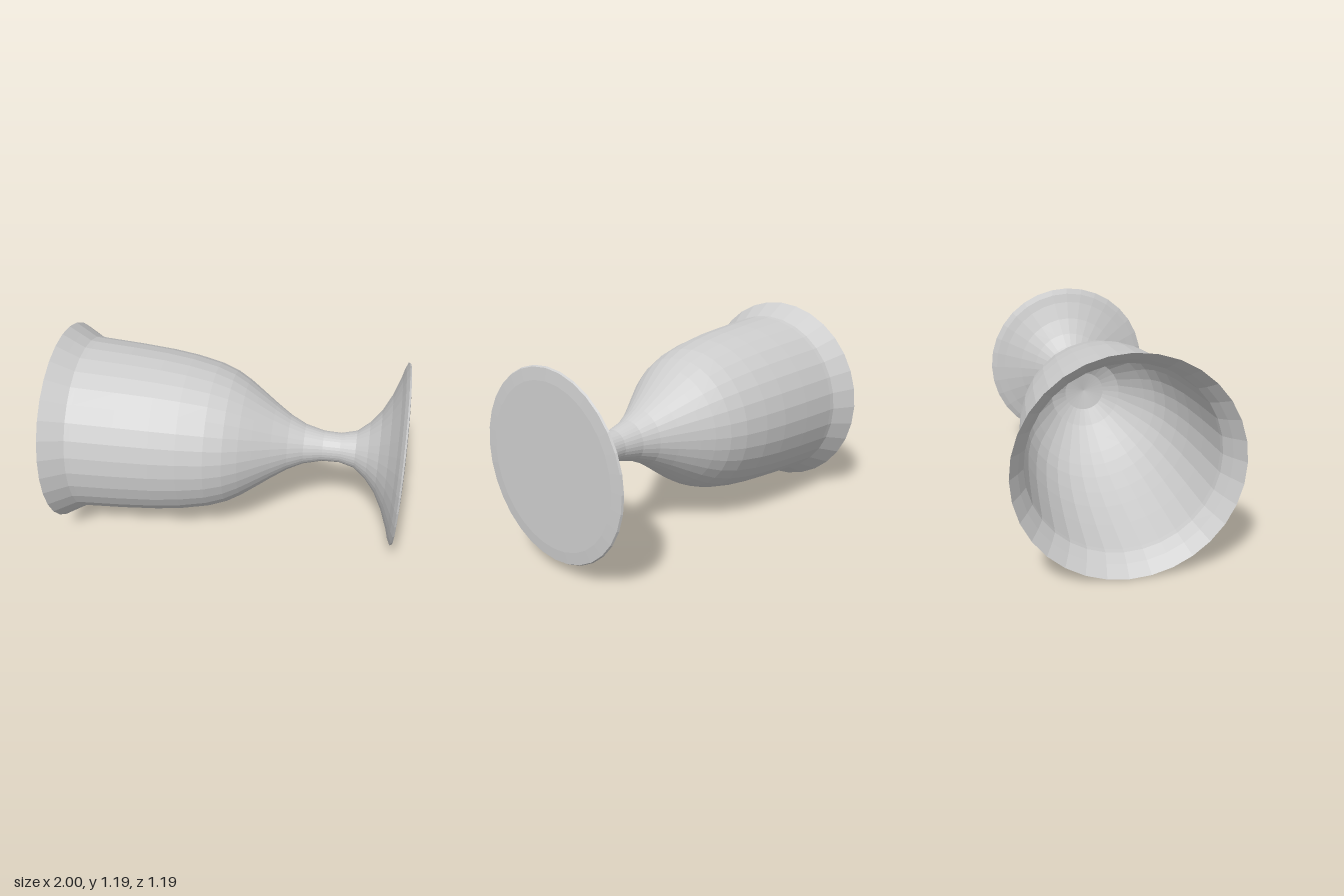
import * as THREE from 'three';

const SIDES = 32;

// Profile points are [distance along the cup's axis, radius]; the axis is laid along +x.
function turned(name, profile, material) {
  const points = profile.map(([along, radius]) => new THREE.Vector2(radius, along));
  const geometry = new THREE.LatheGeometry(points, SIDES);
  geometry.rotateZ(-Math.PI / 2);
  const mesh = new THREE.Mesh(geometry, material);
  mesh.name = name;
  return mesh;
}

export function createModel() {
  const metal = new THREE.MeshStandardMaterial({
    color: 0xcccccc, flatShading: true, side: THREE.DoubleSide,
  });
  metal.name = 'plain grey';

  // Bowl wall from flared lip to the shoulder
  const wall = [
    [-1, 0.596], [-0.93, 0.556], [-0.87, 0.522], [-0.84, 0.518], [-0.6, 0.503],
    [-0.4, 0.486], [-0.25, 0.465], [-0.1, 0.432], [0, 0.394], [0.08, 0.347],
    [0.15, 0.297], [0.25, 0.224],
  ];
  // Thin lining follows the wall and closes the cup
  const lining = wall.map(([x, r], i) => [x, i === 0 ? r : r - 0.01]);
  lining.push([0.3, 0.12], [0.32, 0]);
  lining.reverse();

  const stem = [
    [0.25, 0.224], [0.34, 0.163], [0.43, 0.118], [0.54, 0.09],
    [0.64, 0.087], [0.73, 0.11], [0.8, 0.168],
  ];

  // Foot with a thin rim and a flat underside
  const foot = [
    [0.8, 0.168], [0.86, 0.242], [0.91, 0.338], [0.95, 0.445],
    [0.965, 0.5], [0.98, 0.534], [0.99, 0.528], [0.996, 0.46], [0.997, 0],
  ];

  const goblet = new THREE.Group();
  goblet.name = 'goblet';
  goblet.add(
    turned('bowl', wall, metal),
    turned('bowlLining', lining, metal),
    turned('stem', stem, metal),
    turned('foot', foot, metal),
  );
  // Lies on its side with a very slight tilt
  goblet.rotation.set(0, 0.0065, 0.005);
  goblet.position.set(0, 0.602, -0.0065);

  const model = new THREE.Group();
  model.name = 'model';
  model.add(goblet);
  return model;
}
